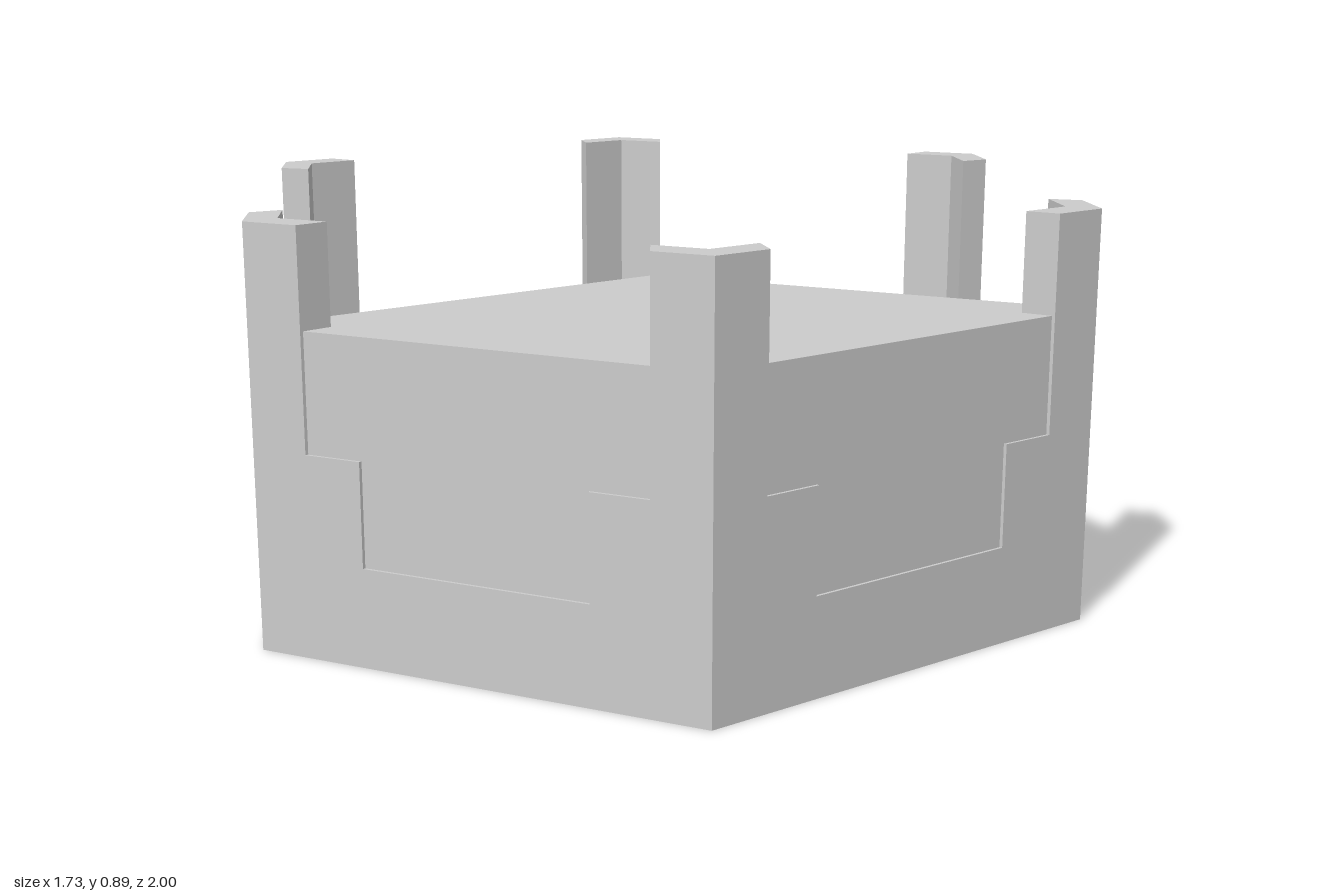
import * as THREE from 'three';

const TOP = 0.89, STEP = 0.43, SILL = 0.21, HIGH = 0.68;
const APOTHEM = Math.sqrt(3) / 2;
const INNER = 0.925;      // inner face of the frame, as a fraction of the outer hexagon
const CORE_RADIUS = 0.993; // the tile core sits just behind the outer faces

// One wall of the frame: a stepped notch between two half posts, with mitred ends
function wallGeometry() {
  const half = [[0.5, 0], [0.5, TOP], [0.375, TOP], [0.375, STEP], [0.25, STEP], [0.25, SILL]];
  const outline = [...half, ...half.map(([x, y]) => [-x, y]).reverse()];
  const shape = new THREE.Shape(outline.map(([x, y]) => new THREE.Vector2(x, y)));
  const geo = new THREE.ExtrudeGeometry(shape, { depth: 1, bevelEnabled: false });
  const p = geo.attributes.position;
  // Shrink the back of the wall towards the centre of the hexagon
  for (let i = 0; i < p.count; i++) {
    const s = p.getZ(i) > 0.5 ? 1 : INNER;
    p.setXYZ(i, p.getX(i) * s, p.getY(i), APOTHEM * s);
  }
  geo.computeVertexNormals();
  return geo;
}

// Solid hexagonal core: flat on one half, with two planes sloping down to the sills
function coreGeometry() {
  const heights = [HIGH, HIGH, HIGH, SILL, SILL, SILL]; // from the front corner, turning to +x
  const corner = (k, y) => {
    const a = (k * Math.PI) / 3;
    return [CORE_RADIUS * Math.sin(a), y, CORE_RADIUS * Math.cos(a)];
  };
  const pos = [];
  for (let k = 0; k < 6; k++) {
    const n = (k + 1) % 6;
    const a = corner(k, 0), b = corner(n, 0);
    const c = corner(n, heights[n]), d = corner(k, heights[k]);
    pos.push(...[0, HIGH, 0], ...d, ...c); // top
    pos.push(...a, ...b, ...c, ...a, ...c, ...d); // side
    pos.push(...[0, 0, 0], ...b, ...a); // underside
  }
  const geo = new THREE.BufferGeometry();
  geo.setAttribute('position', new THREE.Float32BufferAttribute(pos, 3));
  geo.computeVertexNormals();
  return geo;
}

export function createModel() {
  const model = new THREE.Group();
  model.name = 'hexTile';
  const material = new THREE.MeshStandardMaterial({ color: 0xcccccc, flatShading: true });

  // Six walls form the frame with its corner posts
  const frame = new THREE.Group();
  frame.name = 'frame';
  const wall = wallGeometry();
  for (let i = 0; i < 6; i++) {
    const mesh = new THREE.Mesh(wall, material);
    mesh.name = 'notchedWall';
    mesh.rotation.y = Math.PI / 2 + (i * Math.PI) / 3;
    frame.add(mesh);
  }
  model.add(frame);

  // Sloped ground inside the frame
  const core = new THREE.Mesh(coreGeometry(), material);
  core.name = 'slopedGround';
  model.add(core);

  return model;
}
